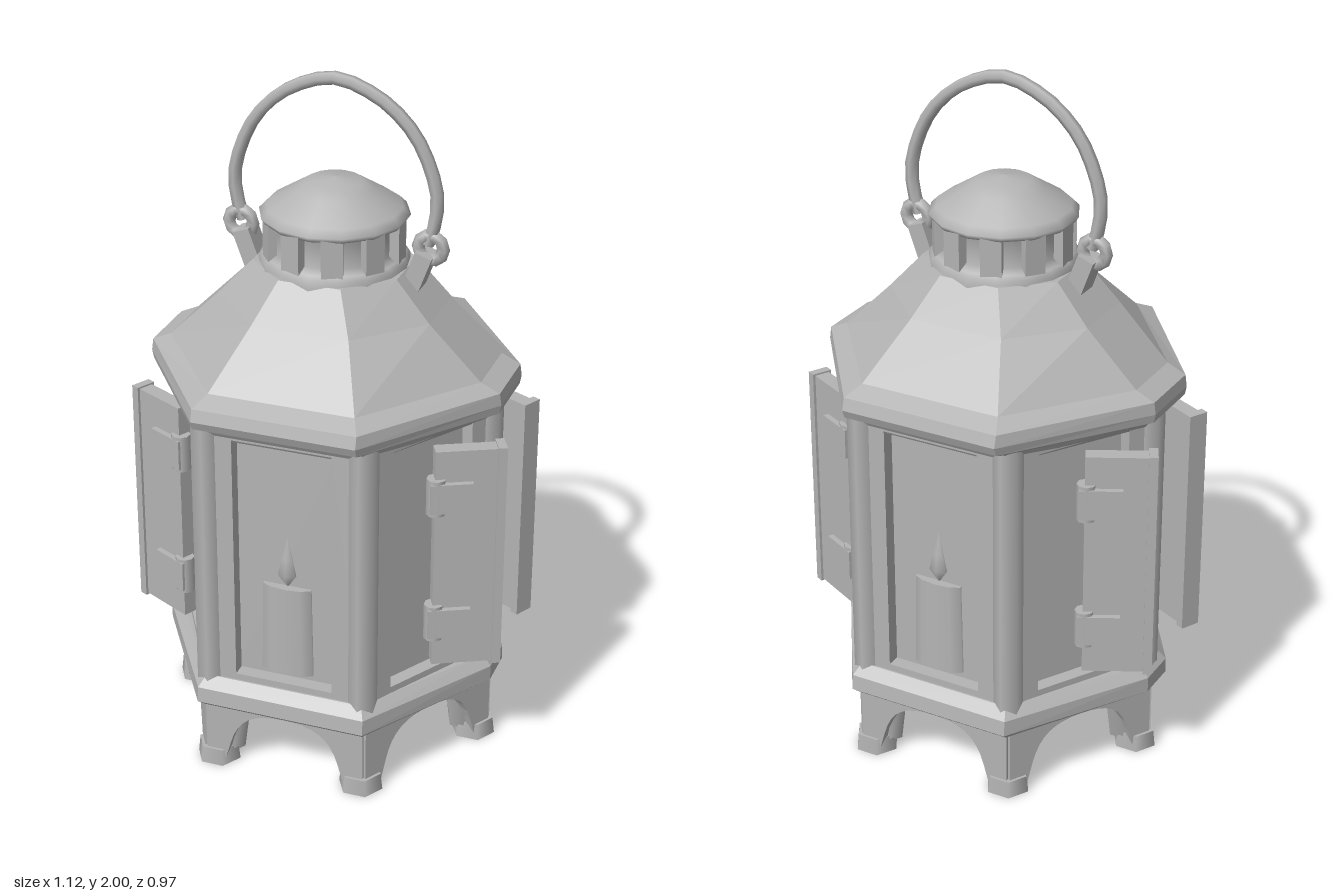
import * as THREE from 'three';

const metal = new THREE.MeshStandardMaterial({ color: 0xb4b4b4 });
metal.name = 'greyMetal';

function add(parent, geometry, name, x = 0, y = 0, z = 0) {
  const mesh = new THREE.Mesh(geometry, metal);
  mesh.name = name;
  mesh.position.set(x, y, z);
  parent.add(mesh);
  return mesh;
}

// Faceted solid through stacked eight-cornered sections [y, a, d, c, b]:
// front corners at (±a, ±d), side corners at (±c, ±b).
function loft(levels) {
  const rings = levels.map(([y, a, d, c, b]) =>
    [[-a, d], [a, d], [c, b], [c, -b], [a, -d], [-a, -d], [-c, -b], [-c, b]]
      .map(([x, z]) => new THREE.Vector3(x, y, z)));
  const points = [];
  for (let k = 0; k < rings.length - 1; k++) {
    for (let i = 0; i < 8; i++) {
      const j = (i + 1) % 8, lo = rings[k], hi = rings[k + 1];
      points.push(lo[i], lo[j], hi[j], lo[i], hi[j], hi[i]);
    }
  }
  const bottom = rings[0], top = rings[rings.length - 1];
  for (let i = 1; i < 7; i++) {
    points.push(top[0], top[i], top[i + 1], bottom[0], bottom[i + 1], bottom[i]);
  }
  const geometry = new THREE.BufferGeometry().setFromPoints(points);
  geometry.computeVertexNormals();
  return geometry;
}

function extrude(shape, depth) {
  return new THREE.ExtrudeGeometry(shape, { depth, bevelEnabled: false, curveSegments: 8 });
}

// Wall frame with a window opening
function wallFrame() {
  const s = new THREE.Shape();
  s.moveTo(-0.24, 0.27).lineTo(0.24, 0.27).lineTo(0.24, 1.12).lineTo(-0.24, 1.12).closePath();
  const hole = new THREE.Path();
  hole.moveTo(-0.145, 0.32).lineTo(-0.145, 1.07).lineTo(0.145, 1.07).lineTo(0.145, 0.32).closePath();
  s.holes.push(hole);
  return extrude(s, 0.05);
}

// Arched apron between two legs
function apron() {
  const s = new THREE.Shape();
  s.moveTo(-0.24, 0.24).lineTo(-0.24, 0.01).lineTo(-0.185, 0.01).lineTo(-0.165, 0.08);
  s.bezierCurveTo(-0.14, 0.17, -0.09, 0.195, 0, 0.195);
  s.bezierCurveTo(0.09, 0.195, 0.14, 0.17, 0.165, 0.08);
  s.lineTo(0.185, 0.01).lineTo(0.24, 0.01).lineTo(0.24, 0.24).closePath();
  return extrude(s, 0.05);
}

// Candle and flame, raised on the pane
function candle(side) {
  const group = new THREE.Group();
  group.name = 'candle';
  group.position.z = 0.38;
  side.add(group);
  add(group, new THREE.CylinderGeometry(0.075, 0.08, 0.28, 10), 'candleStick', 0, 0.48, 0).scale.z = 0.35;
  const flame = new THREE.LatheGeometry(
    [[0, 0], [0.03, 0.04], [0.018, 0.09], [0, 0.16]].map(p => new THREE.Vector2(...p)), 6);
  add(group, flame, 'flame', 0, 0.615, 0).scale.z = 0.6;
}

export function createModel() {
  const lantern = new THREE.Group();
  lantern.name = 'lantern';

  // Base moulding
  add(lantern, loft([
    [0.2, 0.24, 0.43, 0.47, 0.05], [0.225, 0.25, 0.46, 0.505, 0.06],
    [0.27, 0.25, 0.455, 0.505, 0.06], [0.3, 0.235, 0.425, 0.48, 0.05]]), 'base');
  // Eaves and roof, sloping from just above the rim
  add(lantern, loft([
    [1.06, 0.23, 0.41, 0.46, 0.04], [1.1, 0.24, 0.435, 0.49, 0.05],
    [1.115, 0.235, 0.475, 0.515, 0.1], [1.14, 0.235, 0.485, 0.52, 0.1],
    [1.175, 0.235, 0.475, 0.515, 0.1], [1.2, 0.21, 0.42, 0.46, 0.1],
    [1.35, 0.14, 0.275, 0.31, 0.1], [1.46, 0.09, 0.2, 0.21, 0.085]]), 'roof');

  // Six sides with window, apron, corner post and leg
  for (let i = 0; i < 6; i++) {
    const side = new THREE.Group();
    side.name = 'side' + (i + 1);
    side.rotation.y = i * Math.PI / 3;
    lantern.add(side);
    add(side, wallFrame(), 'windowFrame', 0, 0, 0.37);
    add(side, new THREE.BoxGeometry(0.32, 0.78, 0.01), 'windowPane', 0, 0.695, 0.375);
    add(side, apron(), 'apron', 0, 0, 0.375);
    if (i % 3 === 0) candle(side);

    const corner = new THREE.Group();
    corner.name = 'corner';
    corner.rotation.y = Math.PI / 6;
    side.add(corner);
    const post = add(corner, new THREE.CylinderGeometry(0.045, 0.045, 0.85, 6), 'cornerPost', 0, 0.69, 0.455);
    post.rotation.y = Math.PI / 6;
    add(corner, new THREE.CylinderGeometry(0.09, 0.06, 0.2, 6), 'leg', 0, 0.13, 0.405).scale.z = 0.7;
    add(corner, new THREE.CylinderGeometry(0.06, 0.066, 0.05, 6), 'foot', 0, 0.025, 0.44);
  }

  // Four open shutters with two hinges each
  for (const sx of [-1, 1]) for (const sz of [-1, 1]) {
    const shutter = new THREE.Group();
    shutter.name = 'shutter';
    shutter.position.set(sx * 0.455, 0, sz * 0.178);
    shutter.rotation.y = sx * sz * 0.47;
    lantern.add(shutter);
    add(shutter, new THREE.BoxGeometry(0.19, 0.68, 0.045), 'shutterPanel', 0, 0.7, 0);
    add(shutter, new THREE.BoxGeometry(0.025, 0.69, 0.06), 'shutterEdge', sx * 0.09, 0.7, 0);
    for (const y of [0.5, 0.9]) {
      add(shutter, new THREE.BoxGeometry(0.12, 0.09, 0.03), 'hingePlate', -sx * 0.05, y, sz * 0.024);
      add(shutter, new THREE.CylinderGeometry(0.028, 0.028, 0.11, 8), 'hingePin', -sx * 0.09, y, sz * 0.012);
    }
  }

  // Vented chimney and cap
  const chimney = [[0.21, 1.44], [0.21, 1.475], [0.195, 1.485], [0.175, 1.5], [0.175, 1.585], [0.2, 1.595]];
  add(lantern, new THREE.LatheGeometry(chimney.map(p => new THREE.Vector2(...p)), 16), 'chimney');
  for (let i = 0; i < 10; i++) {
    const a = (i + 0.5) * Math.PI / 5;
    const rib = add(lantern, new THREE.BoxGeometry(0.06, 0.12, 0.03), 'ventRib',
      Math.sin(a) * 0.182, 1.54, Math.cos(a) * 0.182);
    rib.rotation.y = a;
  }
  const cap = [[0, 1.585], [0.2, 1.585], [0.21, 1.6], [0.19, 1.62], [0.11, 1.67], [0.075, 1.692], [0, 1.702]];
  add(lantern, new THREE.LatheGeometry(cap.map(p => new THREE.Vector2(...p)), 14), 'cap');

  // Carrying handle with its rings and lugs
  const half = [[0.27, 1.54], [0.29, 1.61], [0.292, 1.69], [0.25, 1.81], [0.2, 1.88], [0.12, 1.942]];
  const path = [...half.map(([x, y]) => [-x, y]), [0, 1.98], ...half.slice().reverse()];
  const curve = new THREE.CatmullRomCurve3(path.map(([x, y]) => new THREE.Vector3(x, y, 0)));
  add(lantern, new THREE.TubeGeometry(curve, 24, 0.019, 6), 'handle');
  for (const sx of [-1, 1]) {
    add(lantern, new THREE.TorusGeometry(0.036, 0.019, 6, 10), 'handleRing', sx * 0.278, 1.53, 0);
    const lug = add(lantern, new THREE.BoxGeometry(0.05, 0.13, 0.07), 'handleLug', sx * 0.245, 1.455, 0);
    lug.rotation.z = -sx * 0.35;
  }
  return lantern;
}
